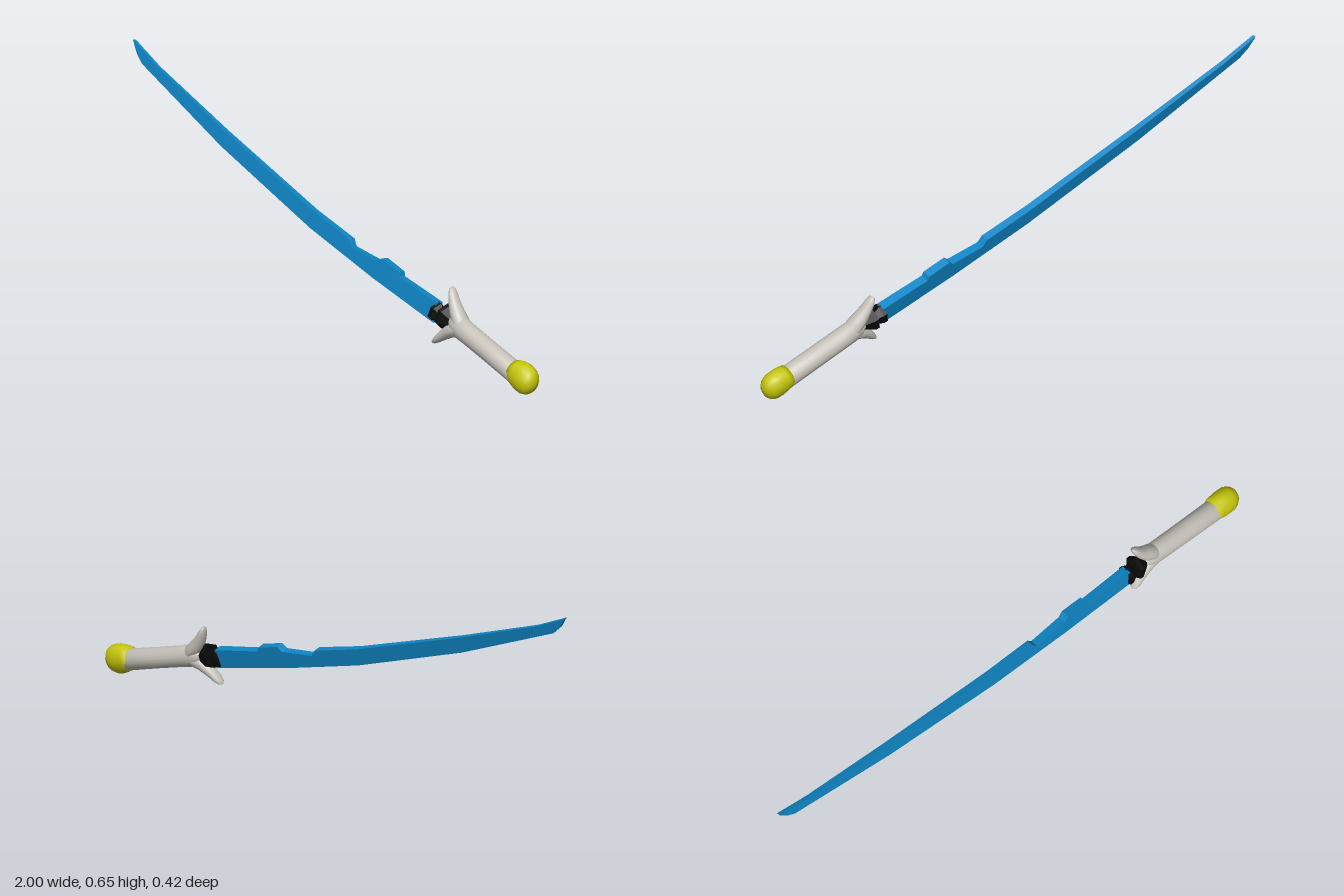
import * as THREE from 'three';

// The sword is drawn in a flat x/y plane, then leaned into its final pose:
// z = A*x + B*y + C, with thickness along the plane's normal.
const A = 0.1236, B = -0.2167, C = 0.061;
const normal = new THREE.Vector3(-A, -B, 1).normalize();
const pose = new THREE.Matrix4().makeBasis(
  new THREE.Vector3(1, 0, A), new THREE.Vector3(0, 1, B), normal
).setPosition(0, 0, C);

function part(name, geometry, color, flatShading = false) {
  geometry.applyMatrix4(pose);
  const mesh = new THREE.Mesh(geometry, new THREE.MeshStandardMaterial({ color, flatShading }));
  mesh.name = name;
  return mesh;
}

// Closed loft through stations [x, y, radius in plane, radius across plane]
function loft(stations, sides) {
  const pos = [], index = [];
  stations.forEach(([x, y, rIn, rOut], i) => {
    const p = stations[Math.max(i - 1, 0)], q = stations[Math.min(i + 1, stations.length - 1)];
    const len = Math.hypot(q[0] - p[0], q[1] - p[1]);
    const tx = (q[0] - p[0]) / len, ty = (q[1] - p[1]) / len;
    for (let j = 0; j < sides; j++) {
      const a = (j / sides) * Math.PI * 2, c = Math.cos(a) * rIn;
      pos.push(x - ty * c, y + tx * c, Math.sin(a) * rOut);
      if (i === stations.length - 1) continue;
      const k = i * sides + j, l = i * sides + (j + 1) % sides;
      index.push(k, l, l + sides, k, l + sides, k + sides);
    }
  });
  const g = new THREE.BufferGeometry();
  g.setAttribute('position', new THREE.Float32BufferAttribute(pos, 3));
  g.setIndex(index);
  g.computeVertexNormals();
  return g;
}

// Loft along the straight handle axis: rows of [distance, rIn, rOut]
const axisLoft = (x, y, rows, sides) =>
  loft(rows.map(([d, a, b]) => [x + d * 0.962, y - d * 0.272, a, b]), sides);

export function createModel() {
  const sword = new THREE.Group();
  sword.name = 'sword';

  // Blade: notched outline, thinning toward the tip
  const outline = [
    [0.52, 0.125], [0.52, 0.192], [0.337, 0.228], [0.333, 0.243], [0.25, 0.265], [0.232, 0.25],
    [0.105, 0.264], [0.092, 0.286], [-0.09, 0.332], [-0.54, 0.477], [-0.875, 0.594],
    [-1, 0.65], [-0.975, 0.612], [-0.944, 0.584], [-0.54, 0.421], [-0.09, 0.272], [0.22, 0.192],
  ].map(([x, y]) => new THREE.Vector2(x, y));
  const blade = new THREE.ExtrudeGeometry(new THREE.Shape(outline), { depth: 1, bevelEnabled: false });
  blade.translate(0, 0, -0.5);
  const v = blade.attributes.position;
  for (let i = 0; i < v.count; i++) {
    v.setZ(i, v.getZ(i) * (0.026 + 0.013 * v.getX(i)));
  }
  sword.add(part('blade', blade, 0x0f86c6, true));

  // Collar: two faceted cones pointing into the guard
  [[0.505, 0.16, 0.036, 0.06], [0.545, 0.158, 0.044, 0.065]].forEach(([x, y, r, h], i) => {
    sword.add(part('collarCone' + (i + 1), axisLoft(x, y, [
      [0, 0.001, 0.001], [0.002, r, r * 0.92], [0.015, r, r * 0.92], [h, 0.008, 0.008], [h + 0.001, 0.001, 0.001],
    ], 6), 0x0a0a0a, true));
  });

  // Grip
  sword.add(part('grip', axisLoft(0.585, 0.152, [
    [0, 0.001, 0.001], [0.004, 0.016, 0.018], [0.025, 0.032, 0.03], [0.06, 0.038, 0.035],
    [0.1, 0.036, 0.036], [0.2, 0.035, 0.037], [0.34, 0.036, 0.038], [0.343, 0.001, 0.001],
  ], 20), 0xc6c2ba));

  // Guard prongs: swept back, ending in flat rounded tips
  const prongs = {
    upperProng: [[0.655, 0.14, 0.012, 0.02], [0.63, 0.155, 0.027, 0.032], [0.604, 0.185, 0.024, 0.027],
      [0.587, 0.213, 0.018, 0.022], [0.576, 0.238, 0.013, 0.019], [0.57, 0.253, 0.008, 0.013], [0.567, 0.26, 0.001, 0.001]],
    lowerProng: [[0.66, 0.13, 0.012, 0.02], [0.625, 0.132, 0.027, 0.032], [0.589, 0.116, 0.023, 0.027],
      [0.558, 0.093, 0.017, 0.022], [0.535, 0.073, 0.012, 0.019], [0.522, 0.062, 0.007, 0.013], [0.516, 0.057, 0.001, 0.001]],
  };
  for (const [name, stations] of Object.entries(prongs)) {
    sword.add(part(name, loft(stations, 16), 0xc6c2ba));
  }

  // Pommel
  sword.add(part('pommel', axisLoft(0.893, 0.071, [
    [0, 0.001, 0.001], [0.002, 0.038, 0.038], [0.02, 0.046, 0.04], [0.045, 0.051, 0.042], [0.07, 0.05, 0.041],
    [0.088, 0.042, 0.035], [0.1, 0.028, 0.024], [0.105, 0.012, 0.011], [0.106, 0.001, 0.001],
  ], 16), 0xc6c60c));

  return sword;
}
